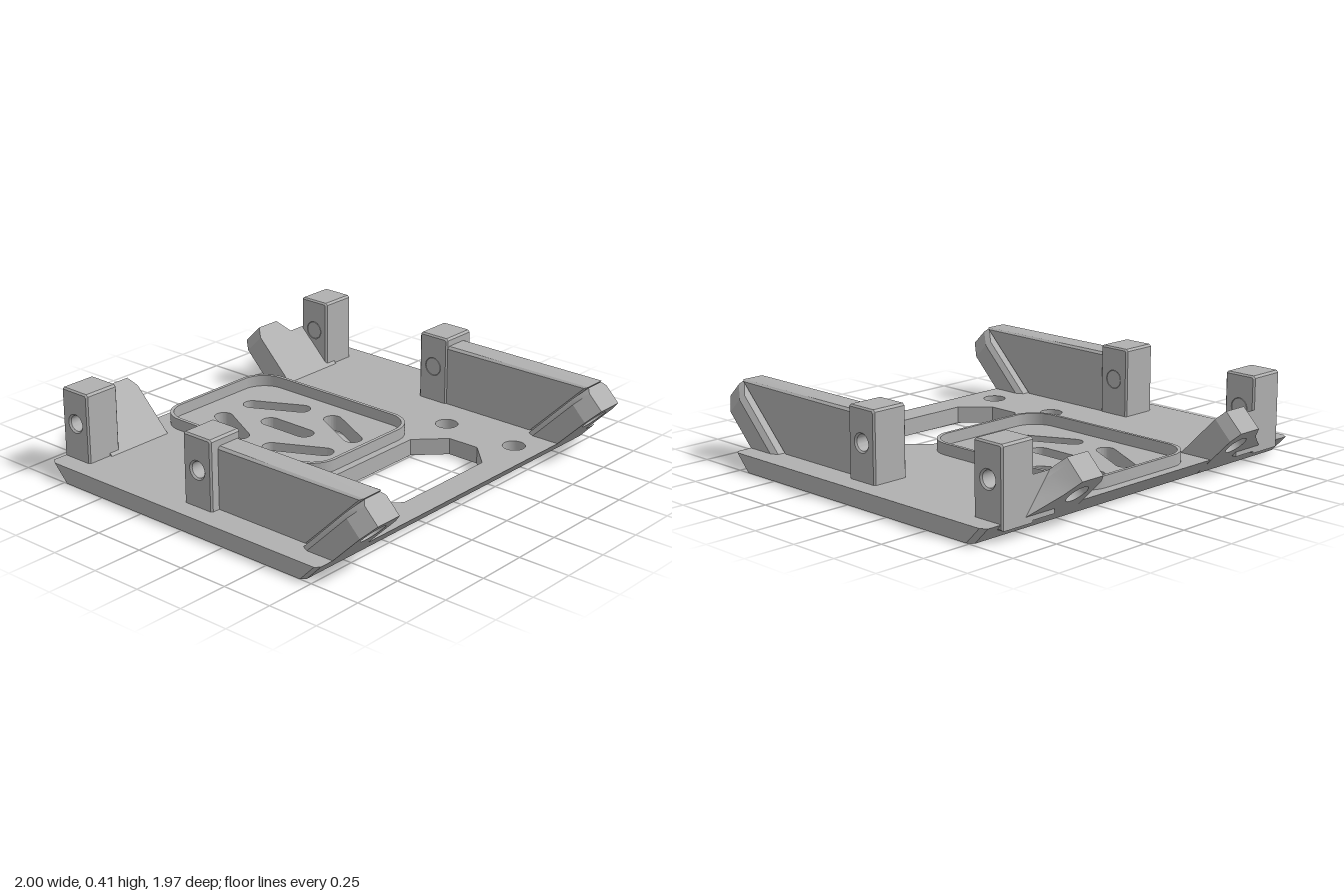
import * as THREE from 'three';
import { toCreasedNormals } from 'three/addons/utils/BufferGeometryUtils.js';

const grey = new THREE.MeshStandardMaterial({ color: 0xb0b0b0 });
grey.name = 'matte grey';

const polygon = (points) => new THREE.Shape(points.map(([x, y]) => new THREE.Vector2(x, y)));
const circle = (x, y, r) => new THREE.Path().absarc(x, y, r, 0, Math.PI * 2, false);

// Slot with round ends between two points
function slot(ax, ay, bx, by, r) {
  const a = Math.atan2(by - ay, bx - ax);
  return new THREE.Path()
    .absarc(bx, by, r, a - Math.PI / 2, a + Math.PI / 2, false)
    .absarc(ax, ay, r, a + Math.PI / 2, a + Math.PI * 1.5, false);
}

function roundedRect(x0, y0, x1, y1, r) {
  return new THREE.Shape()
    .absarc(x1 - r, y0 + r, r, -Math.PI / 2, 0, false)
    .absarc(x1 - r, y1 - r, r, 0, Math.PI / 2, false)
    .absarc(x0 + r, y1 - r, r, Math.PI / 2, Math.PI, false)
    .absarc(x0 + r, y0 + r, r, Math.PI, Math.PI * 1.5, false);
}

// Extrusion from local z = 0 to depth, with an optional chamfer kept inside the outline
function extrude(shape, depth, bevel = 0) {
  const geo = new THREE.ExtrudeGeometry(shape, {
    depth: depth - 2 * bevel, curveSegments: 14, bevelEnabled: bevel > 0,
    bevelSize: bevel, bevelThickness: bevel, bevelOffset: -bevel, bevelSegments: 1,
  });
  return geo.translate(0, 0, bevel);
}

// Shape in (x, z), standing from y0 up to y1
const upright = (shape, y0, y1) => extrude(shape, y1 - y0).rotateX(Math.PI / 2).translate(0, y1, 0);

// Shape in (-z, y), running from x0 to x1
const sideways = (shape, x0, x1, bevel) =>
  extrude(shape, x1 - x0, bevel).rotateY(Math.PI / 2).translate(x0, 0, 0);

function addMesh(parent, name, geo) {
  const mesh = new THREE.Mesh(toCreasedNormals(geo, 0.5), grey);
  mesh.name = name;
  parent.add(mesh);
  return mesh;
}

// x range on the chosen side, in rising order
const span = (side, a, b) => (side > 0 ? [a, b] : [-b, -a]);

// Base plate with sloping front and back edges
function addPlate(group) {
  const shape = polygon([
    [-0.98, -0.84], [0.98, -0.84], [1, -0.81], [1, 0.765], [0.98, 0.785],
    [-0.98, 0.785], [-1, 0.765], [-1, -0.81],
  ]);
  shape.holes.push(polygon([
    [-0.27, 0.24], [0.27, 0.24], [0.4, 0.37], [0.4, 0.53], [0.28, 0.65],
    [-0.28, 0.65], [-0.4, 0.53], [-0.4, 0.37],
  ]));
  shape.holes.push(slot(0, -0.4, 0, -0.185, 0.046));
  for (const s of [-1, 1]) {
    shape.holes.push(slot(s * 0.1, -0.615, s * 0.215, -0.395, 0.044));
    shape.holes.push(slot(s * 0.215, -0.195, s * 0.1, 0.03, 0.044));
    for (const z of [0.25, 0.645]) shape.holes.push(circle(s * 0.53, z, 0.054));
  }
  const geo = upright(shape, 0, 0.08);
  const p = geo.attributes.position;
  for (let i = 0; i < p.count; i++) {
    const z = p.getZ(i);
    if (p.getY(i) < 0.01 && Math.abs(z) > 0.715) p.setZ(i, z - Math.sign(z) * 0.077);
  }
  addMesh(group, 'basePlate', geo);

  const rim = roundedRect(-0.362, -0.793, 0.362, 0.203, 0.14);
  rim.holes.push(roundedRect(-0.345, -0.776, 0.345, 0.186, 0.123));
  addMesh(group, 'rim', upright(rim, 0.07, 0.135));
}

// Square post with a blind hole in its outer face
function addPost(group, side, zc, name) {
  const shape = polygon([
    [-zc - 0.083, 0.05], [-zc + 0.083, 0.05], [-zc + 0.083, 0.405], [-zc + 0.073, 0.415],
    [-zc - 0.073, 0.415], [-zc - 0.083, 0.405],
  ]);
  shape.holes.push(circle(-zc, 0.255, 0.038));
  const [x0, x1] = span(side, 0.72, 0.905);
  addMesh(group, name, sideways(shape, x0, x1, 0.008));
  const plug = new THREE.CylinderGeometry(0.043, 0.043, 0.08, 24).rotateZ(Math.PI / 2);
  addMesh(group, name + 'HoleFloor', plug.translate(side * 0.7605, 0.255, zc));
}

const DEPTH = 0.125, FLOOR = 0.025;

// Block leaning out at 45 degrees, with a blind hole in the outer sloping face
function addLeaningBlock(group, name, outline, hole, front, taper) {
  const k = Math.SQRT2;
  const scaled = (drop) => outline.map(([x, t]) => [x, t === 0 ? -drop : t * k]);
  const outer = polygon(scaled(0));
  outer.holes.push(circle(hole[0], hole[1] * k, hole[2]));
  const shell = extrude(outer, DEPTH - FLOOR);
  const back = extrude(polygon(scaled(0.02)), FLOOR);
  // narrow the inner face of the floor layer for a chamfer
  const p = back.attributes.position;
  const xs = outline.map((v) => v[0]);
  const mid = (Math.min(...xs) + Math.max(...xs)) / 2;
  for (let i = 0; i < p.count; i++) {
    const inner = front ? p.getZ(i) < 0.001 : p.getZ(i) > FLOOR - 0.001;
    if (inner) p.setX(i, p.getX(i) - Math.sign(p.getX(i) - mid) * taper);
  }
  shell.translate(0, 0, front ? FLOOR - DEPTH : 0);
  back.translate(0, 0, front ? -DEPTH : DEPTH - FLOOR);
  const block = new THREE.Group();
  block.name = name;
  addMesh(block, name + 'Shell', shell);
  addMesh(block, name + 'HoleFloor', back);
  block.rotation.x = front ? Math.PI / 4 : -Math.PI / 4;
  block.position.z = front ? 0.705 : -0.763;
  group.add(block);
}

export function createModel() {
  const group = new THREE.Group();
  group.name = 'mountingTray';
  addPlate(group);

  for (const s of [1, -1]) {
    const word = s > 0 ? 'left' : 'right';
    addPost(group, s, 0.012, word + 'MiddlePost');
    addPost(group, s, -0.762, word + 'BackPost');

    // Rail from the middle post to the front block
    const rail = polygon([[-0.05, 0.05], [-0.05, 0.375], [-0.9, 0.375], [-0.6, 0.07], [-0.6, 0.05]]);
    addMesh(group, word + 'Rail', sideways(rail, ...span(s, 0.727, 0.86), 0.012));

    addLeaningBlock(group, word + 'FrontBlock', [
      [s * 0.68, 0], [s * 0.68, 0.225], [s * 0.725, 0.282], [s * 0.862, 0.282],
      [s * 0.907, 0.225], [s * 0.907, 0],
    ], [s * 0.794, 0.2, 0.063], true, 0.018);

    addLeaningBlock(group, word + 'BackBlock', [
      [s * 0.425, 0], [s * 0.425, 0.185], [s * 0.455, 0.222], [s * 0.582, 0.222],
      [s * 0.635, 0.165], [s * 0.78, 0.075], [s * 0.78, 0],
    ], [s * 0.525, 0.14, 0.055], false, 0);

    // Wedge joining the back block to the back post
    const wedge = polygon([[0.66, 0.06], [0.673, 0.085], [0.845, 0.257], [0.845, 0.06]]);
    addMesh(group, word + 'BackWedge', sideways(wedge, ...span(s, 0.6, 0.75), 0));
  }
  return group;
}
